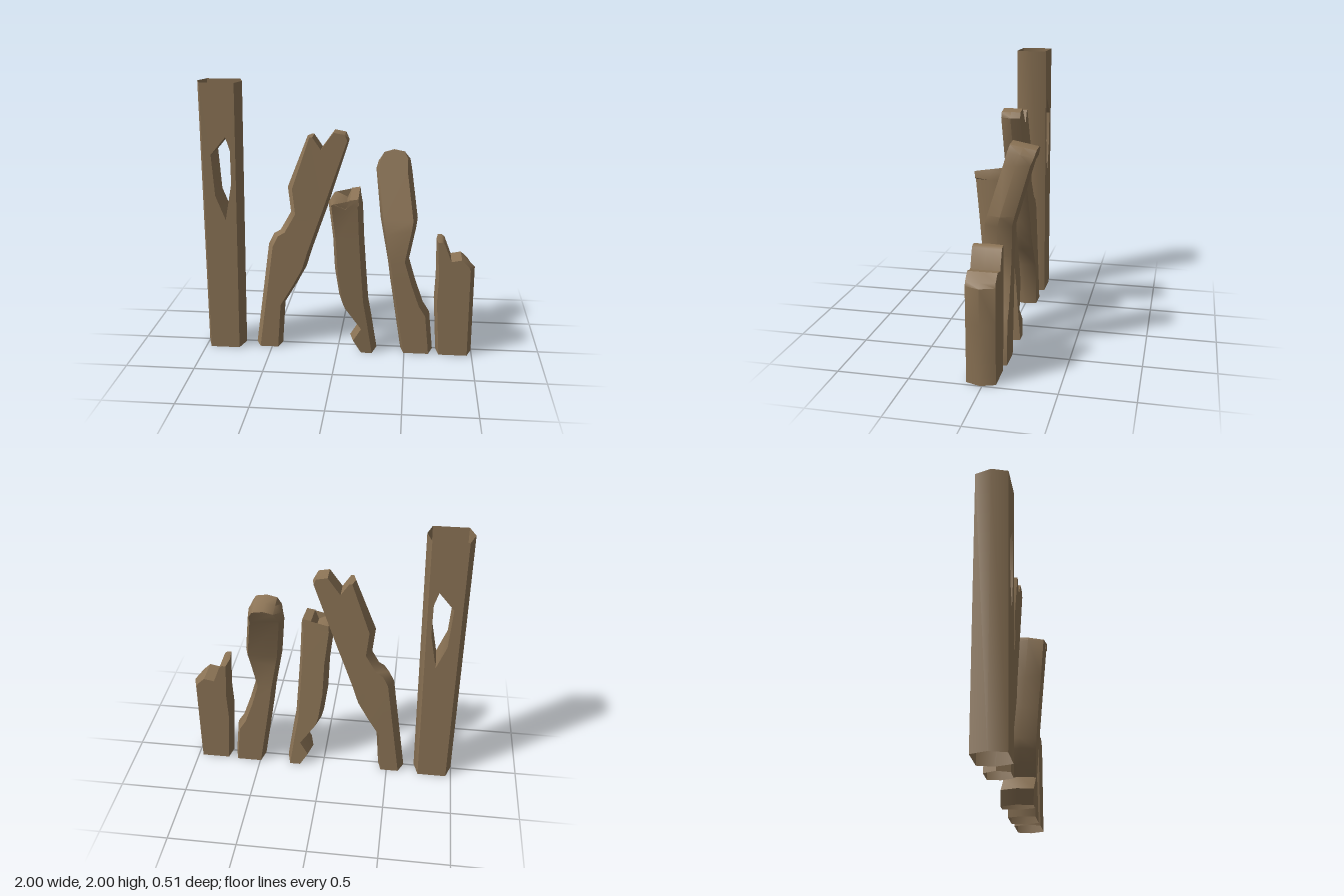
import * as THREE from 'three';
import { toCreasedNormals } from 'three/addons/utils/BufferGeometryUtils.js';

const bark = new THREE.MeshStandardMaterial({ color: 0x8b7355, side: THREE.DoubleSide });
bark.name = 'bark';

// Interpolate [y, front z, back z] keys
function depthAt(keys, y) {
  let i = 0;
  while (i < keys.length - 2 && y > keys[i + 1][0]) i++;
  const [a, b] = [keys[i], keys[i + 1]];
  const t = THREE.MathUtils.clamp((y - a[0]) / (b[0] - a[0]), 0, 1);
  return [a[1] + (b[1] - a[1]) * t, a[2] + (b[2] - a[2]) * t];
}

// Hollow six-sided trunk: paired side points climb the trunk, crown points run across its broken top
function trunk({ name, left, right, crown = [], hole, depth, inset = 0.04, insetR = inset, tiltF = 0, tiltB = 0 }) {
  const positions = [];
  const tri = (a, b, c) => positions.push(...a, ...b, ...c);
  const quad = (a, b, c, d) => { tri(a, b, c); tri(a, c, d); };

  // Each outline point gives a front corner, a middle ridge and a back corner
  const section = ([x, y], dx = 0, top = false) => {
    const [zf, zb] = depthAt(depth, y);
    return {
      f: [x + dx, y - (top ? tiltF : 0), zf],
      m: [x, y - (top ? (tiltF + tiltB) / 2 : 0), (zf + zb) / 2],
      b: [x + dx, y - (top ? tiltB : 0), zb],
    };
  };
  const L = left.map(p => section(p, inset));
  const R = right.map(p => section(p, -insetR));
  const last = crown.length - 1;
  const C = crown.map((p, i) => section(p, i === 0 ? inset / 2 : i === last ? -insetR / 2 : 0, true));

  // Flat panel on the front and back, with an optional opening
  const panel = (outline, opening = []) => {
    const all = [...outline, ...opening];
    const flat = list => list.map(s => new THREE.Vector2(s.f[0], s.f[1]));
    const faces = THREE.ShapeUtils.triangulateShape(flat(outline), opening.length ? [flat(opening)] : []);
    for (const face of faces) {
      let [p, q, r] = face.map(i => all[i]);
      const area = (q.f[0] - p.f[0]) * (r.f[1] - p.f[1]) - (r.f[0] - p.f[0]) * (q.f[1] - p.f[1]);
      if (area < 0) [q, r] = [r, q];
      tri(p.f, q.f, r.f);
      tri(p.b, r.b, q.b);
    }
  };

  if (hole) {
    const H = hole.map(p => section(p));
    panel([...L, ...[...R].reverse()], H);
    // Walls of the opening
    H.forEach((s, i) => {
      const n = H[(i + 1) % H.length];
      quad(s.f, s.b, n.b, n.f);
    });
  } else {
    for (let i = 0; i < L.length - 1; i++) {
      quad(L[i].f, R[i].f, R[i + 1].f, L[i + 1].f);
      quad(R[i].b, L[i].b, L[i + 1].b, R[i + 1].b);
    }
    panel([L.at(-1), ...C, R.at(-1)]);
  }

  // Ridged sides and broken top; the foot stays open
  const strip = list => {
    for (let i = 0; i < list.length - 1; i++) {
      const [s, n] = [list[i], list[i + 1]];
      quad(s.f, n.f, n.m, s.m);
      quad(s.m, n.m, n.b, s.b);
    }
  };
  const down = [...R].reverse();
  if (crown.length) strip([...L, ...C, ...down]);
  else { strip(L); strip(down); }

  const geometry = new THREE.BufferGeometry();
  geometry.setAttribute('position', new THREE.Float32BufferAttribute(positions, 3));
  const mesh = new THREE.Mesh(toCreasedNormals(geometry, 0.75), bark);
  mesh.name = name;
  return mesh;
}

export function createModel() {
  const group = new THREE.Group();
  group.name = 'brokenTrunks';
  group.add(
    // Tall upright trunk, open at the top, with a hole right through
    trunk({
      name: 'tallHollowTrunk',
      left: [[-1, 0], [-1, 2]],
      right: [[-0.71, 0], [-0.68, 2]],
      hole: [[-0.79, 1.62], [-0.9, 1.49], [-0.88, 1.19], [-0.81, 1.01], [-0.76, 1.28], [-0.76, 1.52]],
      depth: [[0, 0.13, -0.1], [2, 0.13, -0.1]],
      inset: 0.04, insetR: 0.035,
    }),
    // Trunk leaning sideways with a forked top
    trunk({
      name: 'leaningForkedTrunk',
      left: [[-0.63, 0], [-0.575, 0.4], [-0.52, 0.8], [-0.48, 0.88], [-0.43, 0.91], [-0.35, 1.05], [-0.37, 1.24]],
      right: [[-0.43, 0], [-0.405, 0.34], [-0.31, 0.5], [-0.24, 0.63], [-0.2, 0.76], [-0.13, 0.96], [-0.08, 1.1]],
      crown: [[-0.22, 1.62], [-0.18, 1.62], [-0.12, 1.53], [-0.03, 1.655], [0.05, 1.64], [0.08, 1.6]],
      depth: [[0, 0.09, -0.085], [0.8, 0.08, -0.075], [1.65, 0.08, -0.055]],
      inset: 0.04, insetR: 0.025,
    }),
    // Trunk leaning forward with a notched foot
    trunk({
      name: 'forwardTrunk',
      left: [[0.15, 0], [0.09, 0.1], [0.15, 0.2], [0.1, 0.27], [0.03, 0.37], [0.01, 0.44], [-0.02, 0.65], [-0.03, 0.9], [-0.06, 1.17]],
      right: [[0.29, 0], [0.275, 0.1], [0.26, 0.2], [0.25, 0.27], [0.235, 0.36], [0.225, 0.42], [0.21, 0.65], [0.195, 0.9], [0.185, 1.17]],
      crown: [[-0.04, 1.215], [0, 1.215], [0.07, 1.18], [0.1, 1.25], [0.16, 1.26], [0.18, 1.215]],
      depth: [[0, 0.135, -0.1], [1.25, 0.255, 0.035]],
      inset: 0.03, tiltF: 0.035,
    }),
    // Bent trunk leaning backward with a rounded top
    trunk({
      name: 'backwardTrunk',
      left: [[0.47, 0], [0.42, 0.32], [0.405, 0.42], [0.385, 0.55], [0.365, 0.7], [0.325, 0.92], [0.305, 1.02], [0.265, 1.36]],
      right: [[0.71, 0], [0.68, 0.3], [0.63, 0.38], [0.57, 0.55], [0.52, 0.72], [0.565, 0.95], [0.575, 1.02], [0.525, 1.36]],
      crown: [[0.28, 1.43], [0.32, 1.49], [0.39, 1.51], [0.47, 1.495], [0.51, 1.45]],
      depth: [[0, 0.11, -0.095], [0.9, 0.105, -0.085], [1.51, -0.075, -0.255]],
      inset: 0.025, insetR: 0.03, tiltB: 0.035,
    }),
    // Short stump with a splintered top
    trunk({
      name: 'shortStump',
      left: [[0.735, 0], [0.71, 0.42], [0.718, 0.6]],
      right: [[1, 0], [1, 0.42], [1, 0.67]],
      crown: [[0.715, 0.88], [0.755, 0.88], [0.775, 0.865], [0.825, 0.735], [0.9, 0.75], [0.97, 0.7]],
      depth: [[0, 0.115, -0.085], [0.9, 0.115, -0.085]],
      inset: 0.022, insetR: 0.035,
    }),
  );
  return group;
}
